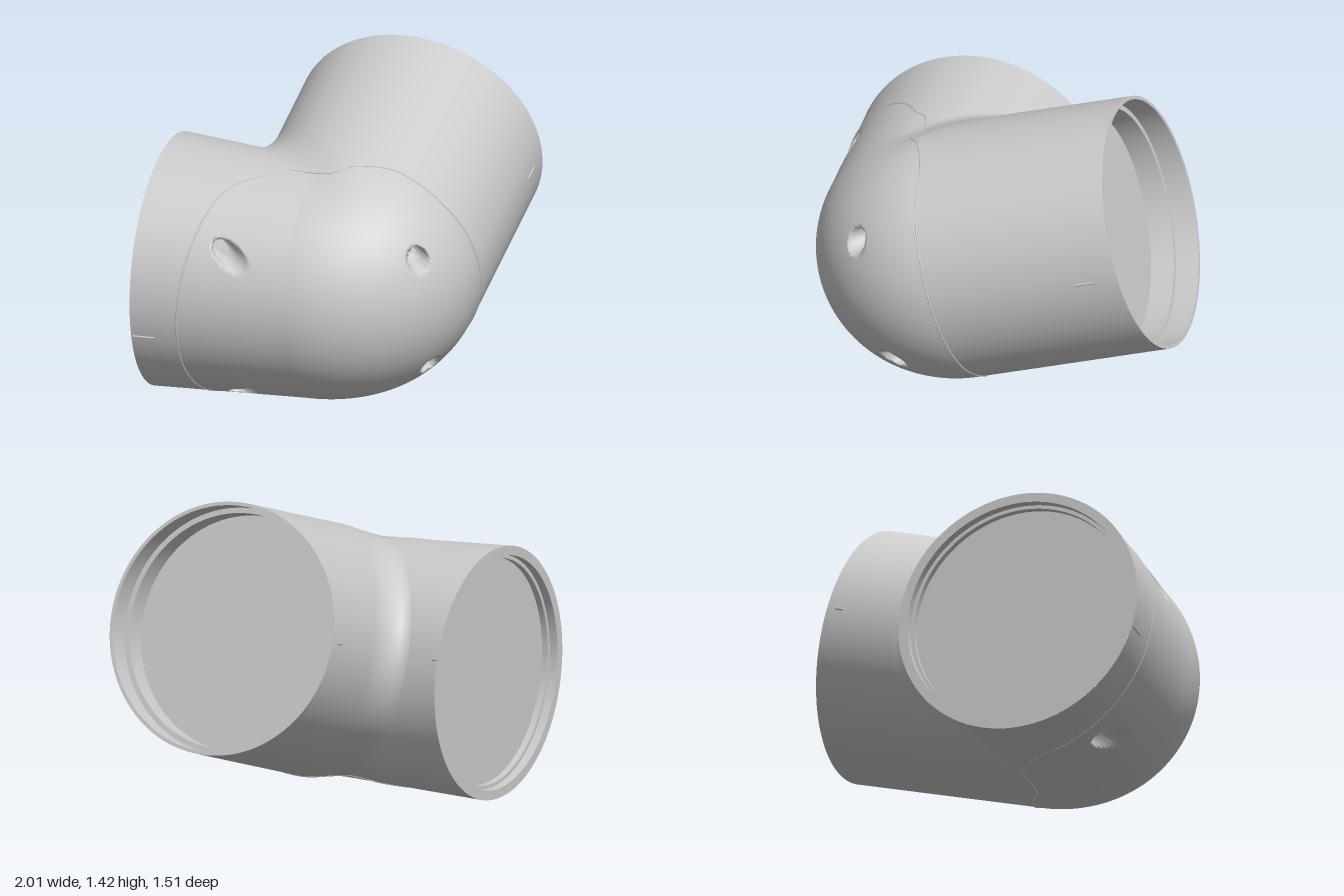
import * as THREE from 'three';
import { toCreasedNormals } from 'three/addons/utils/BufferGeometryUtils.js';

// Local frame: x runs along pipe A, y along pipe B, origin where the axes cross.
const LEN_A = 1.063, LEN_B = 0.84; // axis crossing to each mouth
const R_A = 0.571, R_B = 0.573, R_B_ROOT = 0.543; // pipe B flares slightly
const BEND = 0.13; // bend radius of the centre line and crotch fillet
const { lerp, smoothstep } = THREE.MathUtils;
const rad = THREE.MathUtils.degToRad;

// Elbow skin: phi goes around the pipe (0 = crotch side, 180 = outside);
// p: 0-1 along pipe A inwards, 1-2 around the bend, 2-3 along pipe B outwards.
function skin(phi, p) {
  const q = Math.cos(phi), s = Math.sin(phi);
  if (p <= 1) {
    const start = Math.max(0, R_A * q) + BEND;
    return new THREE.Vector3(lerp(LEN_A, start, p), R_A * q, R_A * s);
  }
  if (p >= 2) {
    const start = Math.max(0, R_B_ROOT * q) + BEND;
    const r = lerp(R_B_ROOT, R_B, p - 2);
    return new THREE.Vector3(r * q, lerp(start, LEN_B, p - 2), r * s);
  }
  const r = lerp(R_A, R_B_ROOT, smoothstep(p, 1, 2));
  const centre = Math.max(0, r * q) + BEND;
  const arc = BEND + Math.max(0, -r * q);
  const t = (2 - p) * Math.PI / 2;
  return new THREE.Vector3(centre - arc * Math.cos(t), centre - arc * Math.sin(t), r * s);
}

// Four screw recesses in the cap, bored along the diagonal of the elbow
const bore = new THREE.Vector3(1, 1, 0).normalize();
const holes = [];
for (const side of [1, -1]) {
  holes.push(new THREE.Vector3(-0.164, -0.415, 0.295 * side));
  holes.push(new THREE.Vector3(-0.392, 0.4, 0.383 * side));
}

function sinkHoles(v) {
  for (const h of holes) {
    const rel = v.clone().sub(h);
    const along = rel.dot(bore);
    if (Math.abs(along) > 0.3) continue;
    const dist = rel.addScaledVector(bore, -along).length();
    v.addScaledVector(bore, 0.1 * (1 - smoothstep(dist, 0.036, 0.053)));
  }
  return v;
}

function bodyGeometry() {
  const around = 240, rows = [];
  const addRows = (from, n) => { for (let i = 0; i < n; i++) rows.push(from + i / n); };
  addRows(0, 10);
  addRows(1, 90);
  addRows(2, 50);
  rows.push(3);
  const pos = [], index = [];
  rows.forEach((p, j) => {
    for (let i = 0; i < around; i++) {
      const v = sinkHoles(skin(i / around * Math.PI * 2, p));
      pos.push(v.x, v.y, v.z);
      if (j === rows.length - 1) continue;
      const k = (i + 1) % around, a = j * around, b = a + around;
      index.push(a + i, b + i, a + k, a + k, b + i, b + k);
    }
  });
  const g = new THREE.BufferGeometry();
  g.setAttribute('position', new THREE.Float32BufferAttribute(pos, 3));
  g.setIndex(index);
  g.computeVertexNormals();
  return g;
}

// Stepped socket: rim, wall, ledge, second wall, closing plate
function socketGeometry(outer, inner, ledge, ledgeDepth, plateDepth) {
  const profile = [
    [outer, 0], [inner, 0], [inner, -ledgeDepth], [ledge, -ledgeDepth],
    [ledge, -plateDepth], [0, -plateDepth],
  ].map(([x, y]) => new THREE.Vector2(x, y));
  return toCreasedNormals(new THREE.LatheGeometry(profile, 96), 0.5);
}

// Thin bead following points on the skin
function beadGeometry(points, closed, radius) {
  const curve = new THREE.CatmullRomCurve3(points, closed);
  return new THREE.TubeGeometry(curve, points.length * 2, radius, 6, closed);
}

function seamGeometry() {
  const half = [
    [180, 0.968], [140, 0.968], [108, 0.968], [95, 1.05], [88, 1.5], [83, 2.08],
    [91, 2.3], [102, 2.48], [130, 2.62], [180, 2.7],
  ];
  const mirrored = half.slice(1, -1).reverse().map(([d, p]) => [360 - d, p]);
  const loop = [...half, ...mirrored].map(([d, p]) => new THREE.Vector3(rad(d), p, 0));
  const path = new THREE.CatmullRomCurve3(loop, true);
  const points = [];
  for (let i = 0; i < 180; i++) {
    const k = path.getPoint(i / 180);
    points.push(skin(k.x, k.y));
  }
  return beadGeometry(points, true, 0.004);
}

export function createModel() {
  const model = new THREE.Group();
  model.name = 'elbowJoint';
  const grey = new THREE.MeshStandardMaterial({ color: 0xcccccc });
  const elbow = new THREE.Group();
  elbow.name = 'elbow';
  const add = (name, geometry) => {
    const mesh = new THREE.Mesh(geometry, grey);
    mesh.name = name;
    elbow.add(mesh);
    return mesh;
  };

  add('elbowShell', bodyGeometry());
  add('capSeam', seamGeometry());

  // Mouths of the two pipes
  const socketA = add('sideSocket', socketGeometry(R_A, 0.555, 0.531, 0.11, 0.22));
  socketA.rotation.z = -Math.PI / 2;
  socketA.position.x = LEN_A;
  add('backSocket', socketGeometry(R_B, 0.53, 0.513, 0.04, 0.07)).position.y = LEN_B;

  // Alignment marks on the crotch and outer side of each pipe
  for (const phi of [0, Math.PI]) {
    const mark = (p0, p1) => beadGeometry([skin(phi, p0), skin(phi, p1)], false, 0.006);
    add('sideMark', mark(0.12, 0.22));
    add('backMark', mark(2.85, 2.99));
  }

  // Turn the local frame into place
  const b = new THREE.Vector3(-0.31, 0, -0.951).normalize();
  const a = new THREE.Vector3(0.911, 0.287, -0.297).normalize();
  const c = a.clone().cross(b).normalize();
  elbow.quaternion.setFromRotationMatrix(new THREE.Matrix4().makeBasis(a, b, c));
  elbow.position.set(-0.197, 0.574, 0.22);
  model.add(elbow);
  return model;
}
